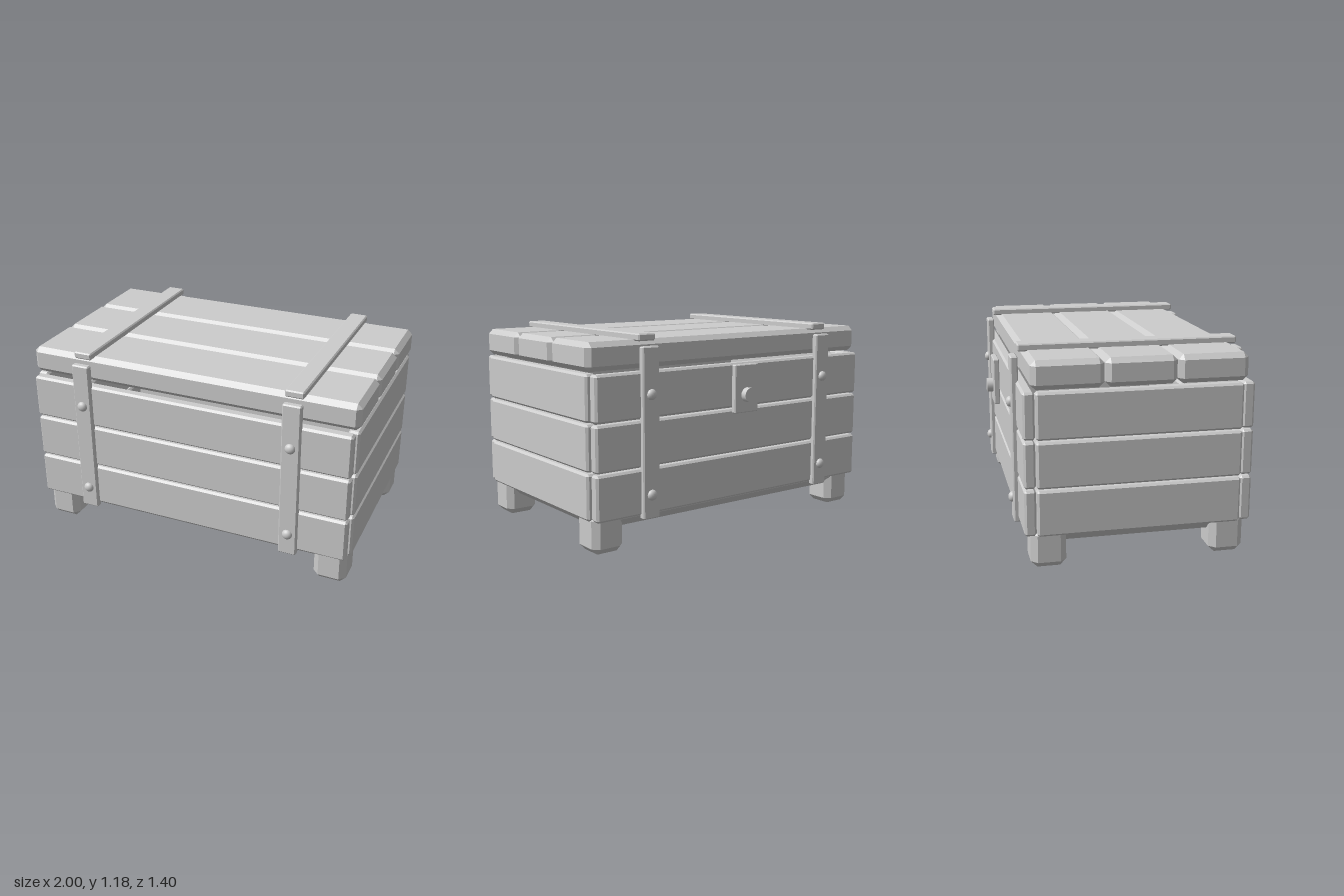
import * as THREE from 'three';
import { ConvexGeometry } from 'three/addons/geometries/ConvexGeometry.js';

const CZ = 0.022; // middle of the box in depth

// Box between two corners with every edge chamfered by c
function chamferBox(x0, x1, y0, y1, z0, z1, c) {
  const h = [(x1 - x0) / 2, (y1 - y0) / 2, (z1 - z0) / 2];
  const pts = [];
  for (const sx of [-1, 1]) for (const sy of [-1, 1]) for (const sz of [-1, 1]) {
    for (let axis = 0; axis < 3; axis++) {
      const p = h.map((v, i) => (i === axis ? v : v - c));
      pts.push(new THREE.Vector3(p[0] * sx, p[1] * sy, p[2] * sz));
    }
  }
  return new ConvexGeometry(pts).translate((x0 + x1) / 2, (y0 + y1) / 2, (z0 + z1) / 2);
}

export function createModel() {
  const chest = new THREE.Group();
  chest.name = 'chest';
  const grey = new THREE.MeshStandardMaterial({ color: 0xcccccc });
  grey.name = 'plain grey';

  const add = (name, geometry) => {
    const mesh = new THREE.Mesh(geometry, grey);
    mesh.name = name;
    chest.add(mesh);
    return mesh;
  };
  const box = (name, ...dims) => add(name, chamferBox(...dims));

  // Floor panel
  box('floor', -0.95, 0.95, 0.13, 0.23, CZ - 0.59, CZ + 0.59, 0.048);

  // Feet
  for (const x of [-0.879, 0.879]) for (const z of [-0.5, 0.5]) {
    box('foot', x - 0.097, x + 0.097, 0, 0.225, CZ + z - 0.097, CZ + z + 0.097, 0.035);
  }

  // Wall planks, three rows on all four sides
  for (let row = 0; row < 3; row++) {
    const y0 = 0.19 + row * 0.2655, y1 = y0 + 0.256;
    box('frontPlank', -0.978, 0.978, y0, y1, 0.587, 0.652, 0.012);
    box('backPlank', -0.978, 0.978, y0, y1, -0.607, -0.543, 0.012);
    box('leftPlank', 0.93, 0.996, y0, y1, -0.541, 0.585, 0.012);
    box('rightPlank', -0.996, -0.93, y0, y1, -0.541, 0.585, 0.012);
  }

  // Lid planks
  for (const z of [-0.371, 0.021, 0.413]) {
    box('lidPlank', -1, 1, 0.988, 1.143, z - 0.194, z + 0.194, 0.028);
  }

  // Straps over the lid and down both walls, with rivets
  for (const x of [-0.643, 0.643]) {
    const x0 = x - 0.054, x1 = x + 0.054;
    box('lidStrap', x0, x1, 1.136, 1.176, -0.593, 0.638, 0.007);
    box('frontStrap', x0, x1, 0.168, 1.11, 0.636, 0.677, 0.007);
    box('backStrap', x0, x1, 0.168, 1.11, -0.632, -0.591, 0.007);
    for (const y of [0.302, 0.853]) for (const z of [0.677, -0.632]) {
      const rivet = add('rivet', new THREE.SphereGeometry(0.03, 16, 12));
      rivet.scale.z = 0.8;
      rivet.position.set(x, y, z);
    }
  }

  // Lock plate and knob on the back wall
  box('lockPlate', -0.087, 0.087, 0.696, 0.974, -0.666, -0.632, 0.005);
  const knob = add('lockKnob', new THREE.CylinderGeometry(0.042, 0.042, 0.05, 20));
  knob.rotation.x = Math.PI / 2;
  knob.position.set(0, 0.8, -0.677);

  return chest;
}
